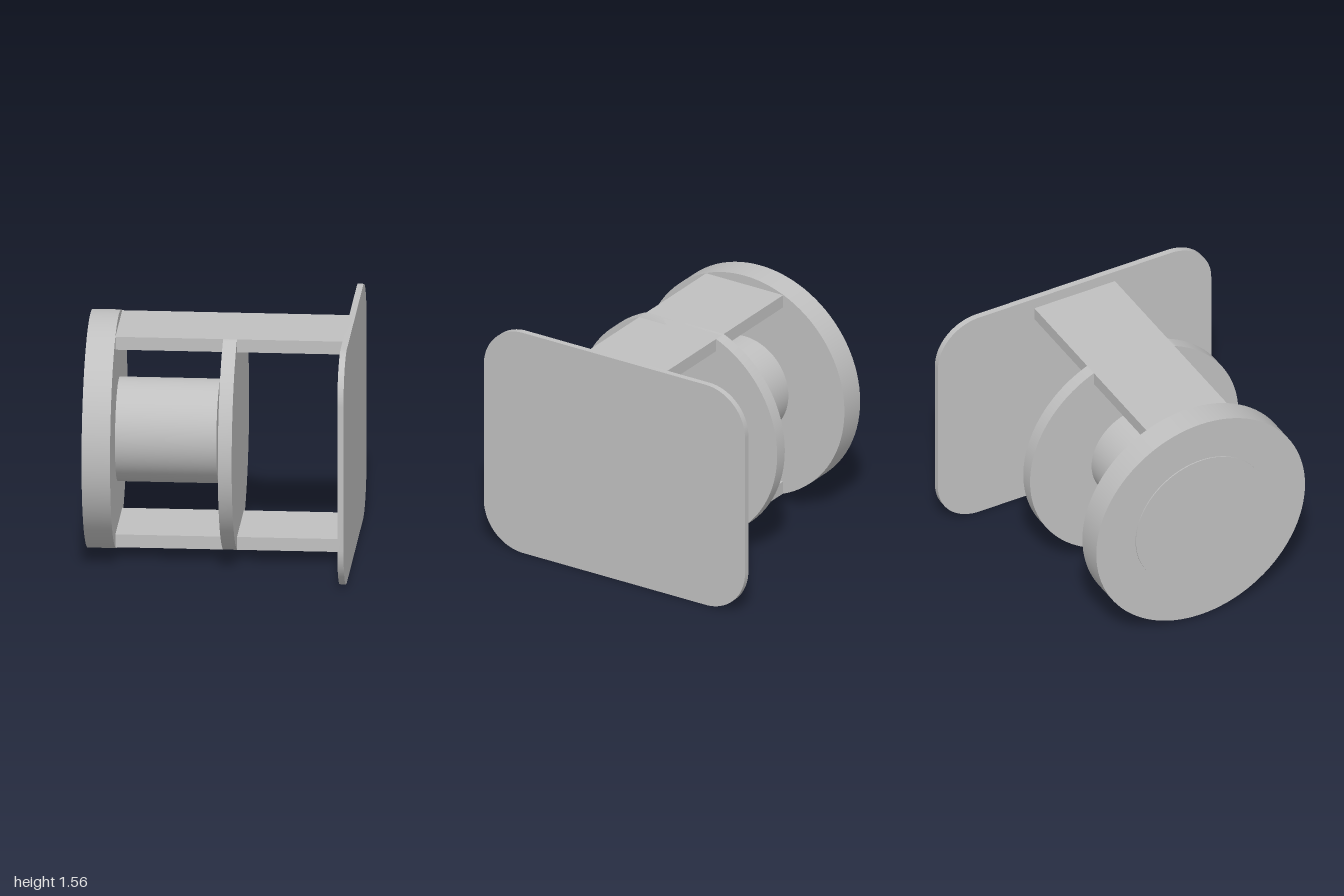
import * as THREE from 'three';
import { toCreasedNormals } from 'three/addons/utils/BufferGeometryUtils.js';

const CENTRE_Y = 0.782;
const STRAP_TOP = 0.703; // strap outer face, measured from the axis
const STRAP_HALF_WIDTH = 0.295;

export function createModel() {
  const model = new THREE.Group();
  const grey = new THREE.MeshStandardMaterial({ color: 0xc0c0c0 });
  grey.name = 'plain grey';

  function add(name, geometry, x, y) {
    const mesh = new THREE.Mesh(geometry, grey);
    mesh.name = name;
    mesh.position.set(x, y, 0);
    model.add(mesh);
  }

  // Solid cylinder lying along x
  function disc(name, radius, x0, x1) {
    const geometry = new THREE.CylinderGeometry(radius, radius, x1 - x0, 96);
    add(name, geometry.rotateZ(Math.PI / 2), (x0 + x1) / 2, CENTRE_Y);
  }

  // Outline in the y-z plane, extruded along x
  function slab(name, shape, x0, x1, y) {
    const geometry = new THREE.ExtrudeGeometry(shape, {
      depth: x1 - x0, bevelEnabled: false, curveSegments: 40,
    });
    add(name, toCreasedNormals(geometry.rotateY(Math.PI / 2), 0.5), x0, y);
  }

  // Round end flange, its raised outer face and the inner drum
  disc('endFlange', 0.764, -0.848, -0.665);
  disc('raisedFace', 0.477, -0.855, -0.845);
  disc('drum', 0.335, -0.668, -0.015);

  // Middle disc, cut flat flush with the straps
  const cut = Math.atan2(STRAP_TOP, STRAP_HALF_WIDTH);
  const radius = Math.hypot(STRAP_TOP, STRAP_HALF_WIDTH);
  const round = new THREE.Shape();
  round.absarc(0, 0, radius, -cut, cut, false);
  round.absarc(0, 0, radius, Math.PI - cut, Math.PI + cut, false);
  round.closePath();
  slab('middleDisc', round, 0.026, 0.115, CENTRE_Y);

  // Upper and lower straps joining flange, disc and plate
  for (const [name, side] of [['upperStrap', 1], ['lowerStrap', -1]]) {
    const strap = new THREE.BoxGeometry(1.476, 0.086, STRAP_HALF_WIDTH * 2);
    add(name, strap, 0.073, CENTRE_Y + side * (STRAP_TOP - 0.043));
  }

  // Rounded rectangular mounting plate
  const w = 1, h = 0.78, r = 0.3;
  const plate = new THREE.Shape();
  plate.absarc(w - r, h - r, r, 0, Math.PI / 2, false);
  plate.absarc(r - w, h - r, r, Math.PI / 2, Math.PI, false);
  plate.absarc(r - w, r - h, r, Math.PI, Math.PI * 1.5, false);
  plate.absarc(w - r, r - h, r, Math.PI * 1.5, Math.PI * 2, false);
  slab('mountingPlate', plate, 0.81, 0.85, h);

  return model;
}
